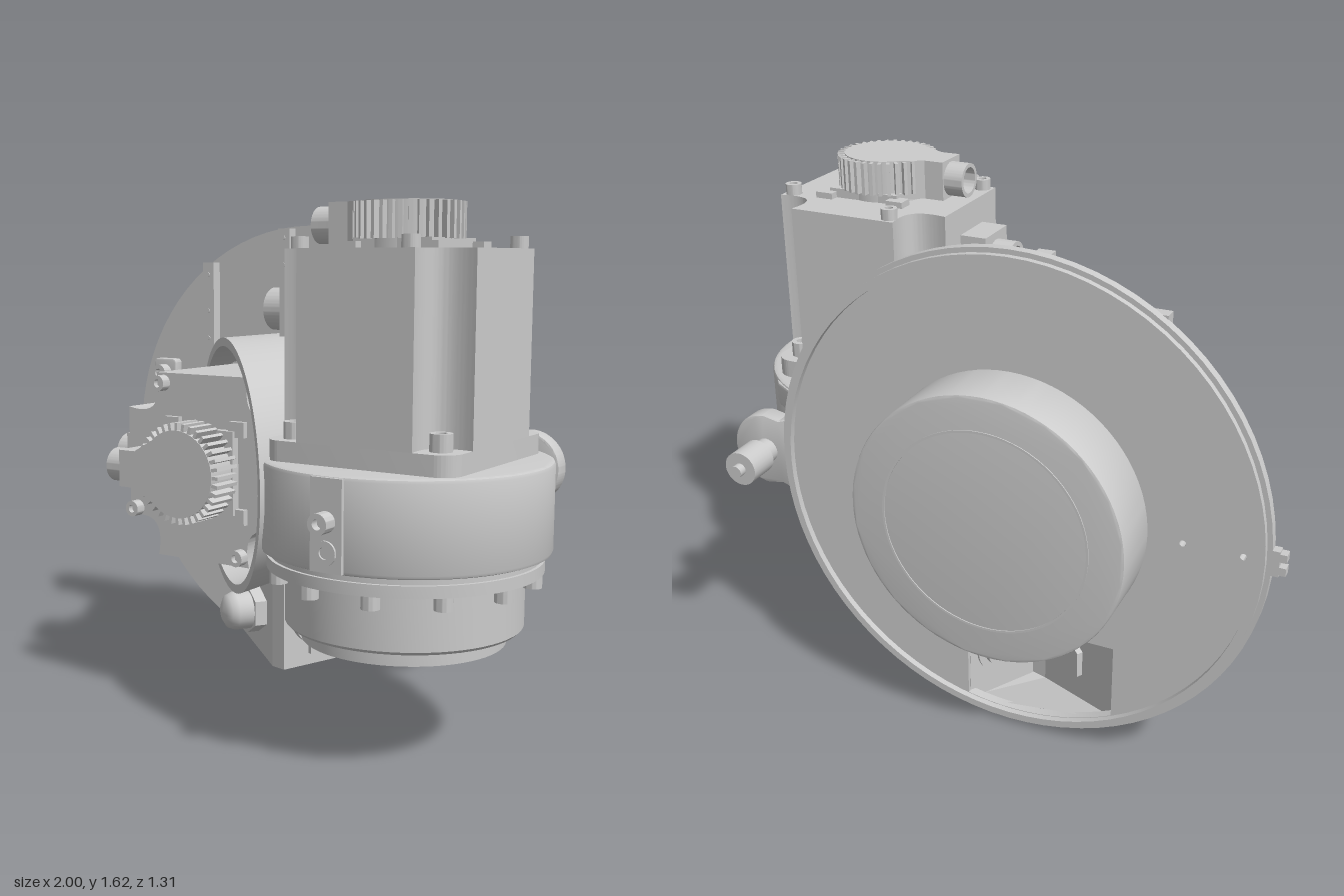
import * as THREE from 'three';
import { toCreasedNormals } from 'three/addons/utils/BufferGeometryUtils.js';

const mat = new THREE.MeshStandardMaterial({ color: 0xcccccc, side: THREE.DoubleSide });
const CX = -0.17, CY = 0.8;             // axis of the round flange
const AX = 0.565, AZ = 0.17;            // axis of the upright drive

function add(parent, name, geo, x = 0, y = 0, z = 0) {
  const m = new THREE.Mesh(geo, mat);
  m.name = name;
  m.position.set(x, y, z);
  parent.add(m);
  return m;
}
function group(parent, name, x = 0, y = 0, z = 0) {
  const g = new THREE.Group();
  g.name = name;
  g.position.set(x, y, z);
  parent.add(g);
  return g;
}
// Solid cylinder spanning a..b along the given axis
function rod(axis, r, a, b, seg = 24) {
  const g = new THREE.CylinderGeometry(r, r, b - a, seg);
  if (axis === 'x') g.rotateZ(-Math.PI / 2);
  if (axis === 'z') g.rotateX(Math.PI / 2);
  const o = { x: 0, y: 0, z: 0 };
  o[axis] = (a + b) / 2;
  return g.translate(o.x, o.y, o.z);
}
// Open sleeve along z
const sleeve = (ro, ri, a, b) => extrudeZ(ringShape(ro, ro, ri, ri), a, b);
function extrudeZ(shape, a, b, bevel = 0) {
  const g = new THREE.ExtrudeGeometry(shape, {
    depth: b - a - 2 * bevel, curveSegments: 40, bevelEnabled: bevel > 0,
    bevelSize: bevel, bevelThickness: bevel, bevelOffset: -bevel, bevelSegments: 2 });
  return toCreasedNormals(g.translate(0, 0, a + bevel), 0.5);
}
// Plan shape (x, -z) raised from height a to b
const extrudeY = (shape, a, b, bevel) => extrudeZ(shape, a, b, bevel).rotateX(-Math.PI / 2);
function ringShape(rx, ry, ix, iy) {
  const s = new THREE.Shape().absellipse(0, 0, rx, ry, 0, Math.PI * 2);
  s.holes.push(new THREE.Path().absellipse(0, 0, ix, iy, 0, Math.PI * 2));
  return s;
}
const poly = (pts) => new THREE.Shape(pts.map(([x, y]) => new THREE.Vector2(x, y)));
function roundedSquare(h, r) {
  const s = new THREE.Shape(), k = h - r;
  [[k, k], [-k, k], [-k, -k], [k, -k]].forEach(([x, y], i) =>
    s.absarc(x, y, r, i * Math.PI / 2, (i + 1) * Math.PI / 2));
  return s;
}
// Socket-head bolt pointing along z
function bolt(parent, x, y, z, r, h) {
  add(parent, 'boltHead', sleeve(r, r * 0.5, 0, h), x, y, z);
  add(parent, 'boltSocket', rod('z', r * 0.55, 0, h * 0.5, 6), x, y, z);
}

// Servo motor standing on y = 0 with its connectors towards -x
function motor(name) {
  const g = new THREE.Group();
  g.name = name;
  add(g, 'motorFlange', extrudeY(roundedSquare(0.305, 0.06), 0, 0.06));
  const h = 0.305, k = 0.185, c = 0.15, s = new THREE.Shape().moveTo(h, -k);
  s.lineTo(h, k).quadraticCurveTo(c, c, k, h).lineTo(-k, h).quadraticCurveTo(-c, c, -h, k);
  s.lineTo(-h, -k).quadraticCurveTo(-c, -c, -k, -h).lineTo(k, -h).quadraticCurveTo(c, -c, h, -k);
  add(g, 'motorBody', extrudeY(s, 0.06, 0.6));
  const bolts = group(g, 'motorBolts');
  bolts.rotation.x = -Math.PI / 2;
  for (const x of [-1, 1]) for (const y of [-1, 1]) bolt(bolts, x * 0.236, y * 0.236, 0.06, 0.032, 0.05);
  for (let i = 0; i < 4; i++) {
    const a = i * Math.PI / 2, x = 0.272, y = 0.155;
    bolt(bolts, x * Math.cos(a) - y * Math.sin(a), x * Math.sin(a) + y * Math.cos(a), 0.6, 0.026, 0.035);
  }
  // Side connector
  add(g, 'sideConnectorBox', new THREE.BoxGeometry(0.1, 0.17, 0.16), -0.345, 0.425, 0);
  add(g, 'sideConnector', sleeve(0.065, 0.05, 0, 0.075).rotateY(-Math.PI / 2), -0.39, 0.42, 0);
  add(g, 'sideConnectorPin', rod('x', 0.02, -0.44, -0.39), 0, 0.42, 0);
  // Encoder cap with cooling teeth
  add(g, 'encoderBase', new THREE.BoxGeometry(0.25, 0.03, 0.27), 0.02, 0.615, 0);
  for (const x of [-0.11, 0.15]) for (const z of [-0.14, 0.14])
    add(g, 'encoderFoot', new THREE.BoxGeometry(0.06, 0.02, 0.05), x, 0.61, z);
  add(g, 'encoderCap', rod('y', 0.14, 0.6, 0.735, 40));
  const n = 36;
  for (let i = 3; i < n - 2; i++) {
    const a = Math.PI + i / n * Math.PI * 2;
    const fin = add(g, 'coolingFin', new THREE.BoxGeometry(0.03, 0.105, 0.011),
      0.148 * Math.cos(a), 0.68, 0.148 * Math.sin(a));
    fin.rotation.y = -a;
  }
  add(g, 'encoderNeck', extrudeY(poly([[-0.1, -0.1], [-0.1, 0.1], [-0.17, 0.06], [-0.235, 0.06],
    [-0.235, -0.06], [-0.17, -0.06]]), 0.61, 0.735));
  add(g, 'encoderConnector', sleeve(0.055, 0.042, 0, 0.065).rotateY(-Math.PI / 2), -0.235, 0.67, 0);
  return g;
}

function buildFlange(root) {
  const g = group(root, 'roundFlange', CX, CY, 0);
  const disc = new THREE.Shape().absarc(0, 0, 0.79, 0, Math.PI * 2);
  // Opening behind the cable pocket, and small through holes
  const pocket = [[0.15, -0.42], [-0.34, -0.42]];
  for (let i = 0; i <= 12; i++) {
    const x = -0.34 + 0.49 * i / 12;
    pocket.push([x, -Math.sqrt(0.75 ** 2 - x * x)]);
  }
  disc.holes.push(poly(pocket));
  for (const x of [-0.71, -0.535]) disc.holes.push(new THREE.Path().absarc(x, 0, 0.01, 0, Math.PI * 2));
  add(g, 'flangeDisc', extrudeZ(disc, -0.468, -0.438));
  add(g, 'flangeLip', sleeve(0.775, 0.752, -0.488, -0.46));
  add(g, 'rearDrum', extrudeZ(new THREE.Shape().absarc(0, 0, 0.43, 0, Math.PI * 2), -0.655, -0.46, 0.008));
  add(g, 'drumRing', sleeve(0.325, 0.318, -0.658, -0.65));
  for (const y of [-0.035, 0.035]) add(g, 'edgeTab', new THREE.BoxGeometry(0.05, 0.025, 0.03), -0.805, y * 0.6, -0.453);
  add(g, 'edgeTabRoot', new THREE.BoxGeometry(0.04, 0.08, 0.03), -0.79, 0, -0.453);
  for (const y of [-0.24, 0.24]) {
    add(g, 'pad', extrudeZ(roundedSquare(0.053, 0.015), -0.44, -0.4, 0.005), -0.64, y, 0);
    bolt(g, -0.64, y, -0.4, 0.032, 0.04);
  }
  for (const [x, y0, y1] of [[-0.425, 0.1, 0.66], [-0.085, 0.38, 0.78]]) {
    add(g, 'rib', new THREE.BoxGeometry(0.05, y1 - y0, 0.04), x, (y0 + y1) / 2, -0.42);
    for (const t of [0.5, 0.68, 0.92]) add(g, 'ribScrew', rod('z', 0.008, -0.402, -0.396, 10), x, y0 + (y1 - y0) * t, 0);
  }
}

// Tube around the first motor, cut off along a slanted plane
function buildShell(root) {
  const geo = new THREE.ExtrudeGeometry(ringShape(0.465, 0.415, 0.437, 0.387), {
    depth: 1, curveSegments: 64, bevelEnabled: false });
  geo.translate(CX, CY, 0);
  const p = geo.attributes.position;
  for (let i = 0; i < p.count; i++) p.setZ(i, p.getZ(i) > 0.5 ? p.getX(i) + 0.235 : -0.45);
  add(root, 'slantedShell', toCreasedNormals(geo, 0.5));
  add(root, 'shellFloor', rod('z', 0.4, -0.46, -0.39, 48), CX, CY, 0);
  const s = new THREE.Shape().absellipse(CX, CY, 0.45, 0.4, 0, Math.PI / 3, false);
  s.lineTo(CX + 0.2325, CY + 0.359).quadraticCurveTo(0.28, 0.98, 0.37, 0.895).lineTo(0.37, CY);
  add(root, 'shellFairing', extrudeZ(s, -0.44, 0.28));
  add(root, 'gusset', new THREE.BoxGeometry(0.09, 0.26, 0.13), 0.235, 0.52, -0.185);
}

function buildArm(root) {
  const s = new THREE.Shape().moveTo(0.26, 0.26);
  s.absarc(AX, -AZ, 0.432, Math.PI / 2, -2.32, true);
  s.lineTo(0.26, -0.47);
  add(root, 'armHousing', extrudeY(s, 0.63, 0.9, 0.012));
  const web = poly([[0.26, 0.42], [0.52, 0.42], [0.5, 0.39], [0.54, 0.355], [0.83, 0.18], [0.88, 0.12], [0.26, 0.1]]);
  add(root, 'armWebTop', extrudeY(web, 0.81, 0.893, 0.008));
  add(root, 'armWebBottom', extrudeY(web, 0.67, 0.73, 0.008));
  add(root, 'armPlug', rod('y', 0.068, 0.8, 0.898), 0.33, 0, -0.34);
  // Output flange below the arm
  const prof = [[0, 0.355], [0.305, 0.355], [0.305, 0.4], [0.345, 0.4], [0.355, 0.41], [0.355, 0.575],
    [0.41, 0.575], [0.41, 0.61], [0.4, 0.61], [0.4, 0.64]];
  const lathe = new THREE.LatheGeometry(prof.map(([x, y]) => new THREE.Vector2(x, y)), 64);
  add(root, 'outputFlange', toCreasedNormals(lathe, 0.5), AX, 0, AZ);
  const ring = group(root, 'outputBolts', AX, 0.575, AZ);
  ring.rotation.x = Math.PI / 2;
  for (let i = 0; i < 12; i++) {
    const a = (i + 0.5) * Math.PI / 6;
    bolt(ring, 0.38 * Math.cos(a), 0.38 * Math.sin(a), 0, 0.027, 0.04);
  }
  // Filler pad on the front
  add(root, 'frontPad', new THREE.BoxGeometry(0.1, 0.26, 0.04), AX, 0.765, 0.59);
  bolt(root, AX, 0.775, 0.605, 0.03, 0.05);
  bolt(root, AX, 0.69, 0.605, 0.034, 0.012);
}

// Wedge-shaped cable pocket under the shell, open to the rear
function buildPocket(root) {
  const plan = [[-0.53, -0.45, 0.47], [-0.19, -0.235, 0.41], [-0.13, -0.22, 0.41], [-0.01, -0.45, 0.41]];
  const low = plan.map(([x, z]) => [x, CY - Math.sqrt(0.785 ** 2 - (x - CX) ** 2), z]);
  const top = plan.map(([x, z, y]) => [x, y, z]);
  const v = [];
  const quad = (a, b, c, d) => v.push(...a, ...b, ...c, ...a, ...c, ...d);
  for (let i = 0; i < 2; i++) quad(low[i], low[i + 1], top[i + 1], top[i]);
  quad(low[3], low[2], low[1], low[0]);
  const geo = new THREE.BufferGeometry();
  geo.setAttribute('position', new THREE.Float32BufferAttribute(v, 3));
  geo.computeVertexNormals();
  add(root, 'pocketWalls', geo);
  // Side wall with the cable socket
  const side = group(root, 'pocketSide', -0.13, 0, -0.22);
  side.rotation.y = Math.atan2(0.23, 0.12);
  const s = poly([[0, low[2][1]], [0.259, low[3][1]], [0.259, 0.41], [0, 0.41]]);
  s.holes.push(new THREE.Path().absarc(0.13, 0.2, 0.075, 0, Math.PI * 2));
  add(side, 'pocketSideWall', extrudeZ(s, -0.012, 0));
  add(side, 'socketRing', sleeve(0.1, 0.075, -0.02, 0.025), 0.13, 0.2, 0);
  add(side, 'socketInner', sleeve(0.076, 0.058, -0.04, 0.01), 0.13, 0.2, 0);
  for (const y of [0.09, 0.31]) {
    add(side, 'socketLug', new THREE.BoxGeometry(0.06, 0.05, 0.02), 0.13, y, 0.01);
    bolt(side, 0.13, y, 0.02, 0.014, 0.01);
  }
  // Domed vent plug on the sloping wall
  const plug = group(root, 'ventPlug', -0.3, 0.2, -0.305);
  plug.rotation.y = Math.atan2(-0.215, 0.34);
  add(plug, 'plugHex', toCreasedNormals(rod('z', 0.088, -0.02, 0.045, 6), 0.5));
  const dome = [[0.07, 0.04], [0.07, 0.1], [0.06, 0.125], [0.035, 0.14], [0, 0.145]];
  add(plug, 'plugDome', new THREE.LatheGeometry(dome.map(([x, y]) => new THREE.Vector2(x, y)), 32).rotateX(Math.PI / 2));
}

function buildEar(root) {
  const g = group(root, 'lockEar', 0.69, CY, 0);
  const s = new THREE.Shape().moveTo(-0.25, -0.18).lineTo(-0.05, -0.11);
  s.absarc(0, 0, 0.12, -Math.PI / 2, Math.PI / 2).lineTo(-0.05, 0.11).lineTo(-0.25, 0.18);
  add(g, 'earPlate', extrudeZ(s, -0.465, -0.4, 0.008));
  for (const [r, a, b] of [[0.04, -0.52, -0.46], [0.055, -0.61, -0.51], [0.02, -0.635, -0.6], [0.05, -0.41, -0.385], [0.03, -0.39, -0.345]])
    add(g, 'lockPin', rod('z', r, a, b));
}

export function createModel() {
  const root = new THREE.Group();
  root.name = 'twoAxisDrive';
  buildFlange(root);
  buildShell(root);
  buildArm(root);
  buildPocket(root);
  buildEar(root);
  const upright = motor('uprightMotor');
  upright.position.set(AX, 0.9, AZ);
  const forward = motor('forwardMotor');
  forward.position.set(-0.16, CY, -0.39);
  forward.rotation.x = Math.PI / 2;
  root.add(upright, forward);
  return root;
}
